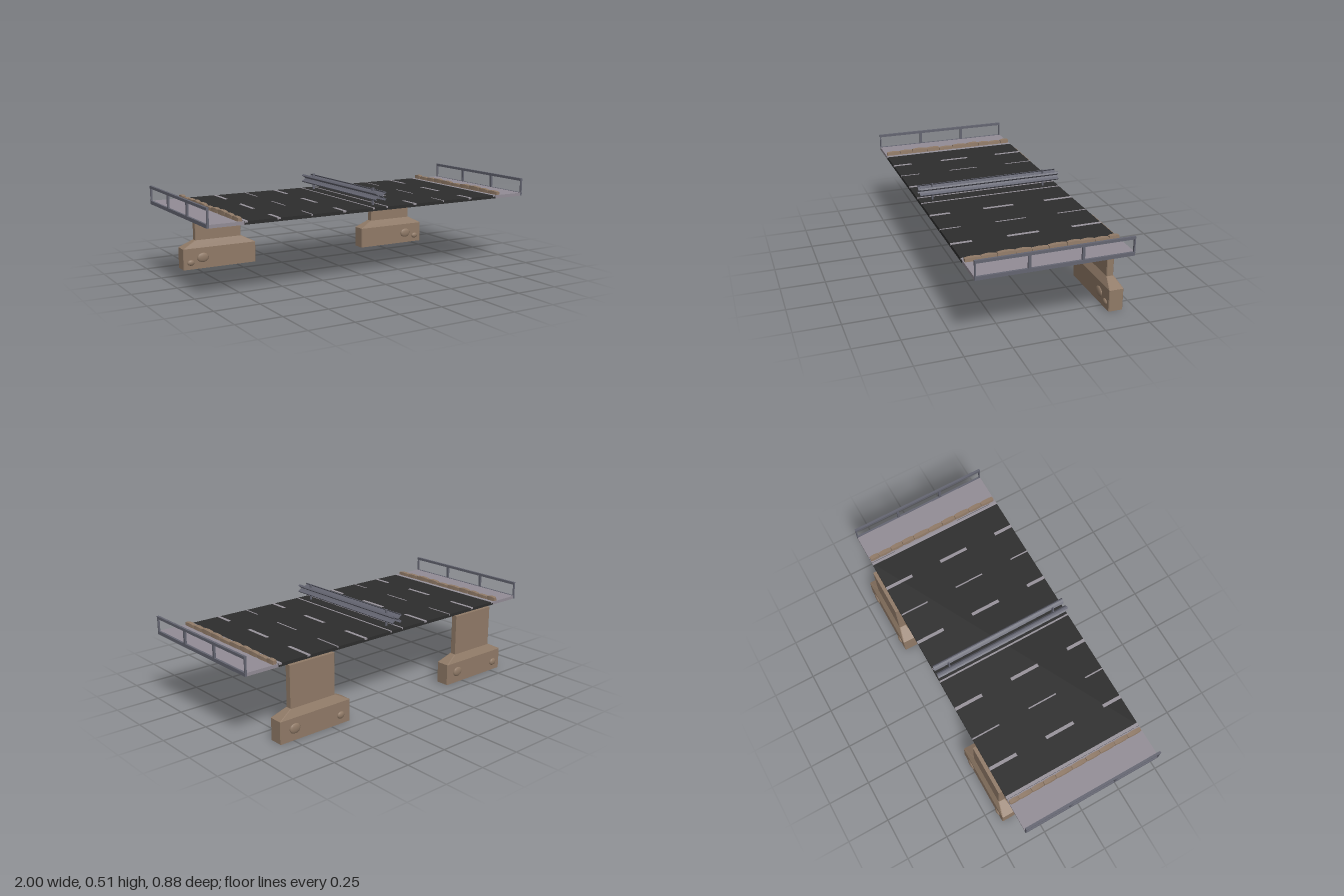
import * as THREE from 'three';

const Z0 = -0.388, Z1 = 0.443, ZC = (Z0 + Z1) / 2, LEN = Z1 - Z0, TOP = 0.416;

function material(name, color, side = THREE.FrontSide) {
  const m = new THREE.MeshStandardMaterial({ color, side });
  m.name = name;
  return m;
}

// Stacked chamfered rectangles: each level is [y, halfWidth, halfDepth]
function loft(levels, c) {
  const pos = [], idx = [];
  for (const [y, w, d] of levels) {
    for (const [x, z] of [[w, d - c], [w - c, d], [c - w, d], [-w, d - c],
      [-w, c - d], [c - w, -d], [w - c, -d], [w, c - d]]) pos.push(x, y, z);
  }
  const n = 8, last = (levels.length - 1) * n;
  for (let l = 0; l < levels.length - 1; l++) {
    for (let i = 0; i < n; i++) {
      const a = l * n + i, b = l * n + (i + 1) % n;
      idx.push(a, a + n, b, b, a + n, b + n);
    }
  }
  for (let i = 1; i < n - 1; i++) {
    idx.push(0, i, i + 1, last, last + i + 1, last + i);
  }
  const g = new THREE.BufferGeometry();
  g.setAttribute('position', new THREE.Float32BufferAttribute(pos, 3));
  g.setIndex(idx);
  const flat = g.toNonIndexed();
  flat.computeVertexNormals();
  return flat;
}

export function createModel() {
  const model = new THREE.Group();
  model.name = 'roadBridge';
  const asphalt = material('asphalt', 0x2d2d2d);
  const paint = material('roadPaint', 0x97929a);
  const walkway = material('walkwayConcrete', 0x928c95);
  const metal = material('slateMetal', 0x646571);
  const stone = material('brownStone', 0x907a67);

  function add(name, geometry, mat, x = 0, y = 0, z = 0, parent = model) {
    const mesh = new THREE.Mesh(geometry, mat);
    mesh.name = name;
    mesh.position.set(x, y, z);
    parent.add(mesh);
    return mesh;
  }
  // Box given by its minimum and maximum on each axis
  function box(name, mat, x0, x1, y0, y1, z0, z1) {
    return add(name, new THREE.BoxGeometry(Math.abs(x1 - x0), y1 - y0, z1 - z0), mat,
      (x0 + x1) / 2, (y0 + y1) / 2, (z0 + z1) / 2);
  }

  // Road deck
  box('roadDeck', asphalt, -0.8, 0.8, 0.398, TOP, Z0, Z1);

  // Guard rail beam profile, offset outward from the central posts
  const outer = [[0.029, 0.499], [0.036, 0.491], [0.022, 0.483], [0.013, 0.475],
    [0.022, 0.467], [0.036, 0.459], [0.029, 0.451]];
  const profile = outer.concat(outer.map(([x, y]) => [x - 0.006, y]).reverse());

  for (const s of [-1, 1]) {
    // Painted lines, turning slightly over the front and back edges
    const line = (name, x, w, z0, z1) =>
      box(name, paint, s * (x - w / 2), s * (x + w / 2), TOP - 0.008, TOP + 0.001, z0, z1);
    line('edgeLine', 0.79, 0.018, Z0 - 0.0005, Z1 + 0.0005);
    line('centreLine', 0.043, 0.01, Z0 - 0.0005, Z1 + 0.0005);
    for (const [x, w] of [[0.225, 0.019], [0.42, 0.008], [0.61, 0.019]]) {
      for (const [a, b] of [[Z0 - 0.0005, -0.22], [-0.035, 0.14], [0.33, Z1 + 0.0005]]) {
        line('laneDash', x, w, a, b);
      }
    }

    // Walkway with its edge beam and handrail
    box('walkway', walkway, s * 0.8, s * 0.988, 0.398, TOP, Z0, Z1);
    box('edgeBeam', metal, s * 0.988, s, 0.398, TOP + 0.001, Z0, Z1);
    box('handrail', metal, s * 0.987, s, 0.486, 0.501, Z0, Z1);
    for (const [a, b] of [[Z0, -0.381], [-0.118, -0.104], [0.16, 0.175], [0.436, Z1]]) {
      box('railPost', metal, s * 0.988, s * 0.999, TOP, 0.487, a, b);
    }

    // Uneven kerb stones
    const joints = [-0.386, -0.33, -0.25, -0.175, -0.1, 0, 0.09, 0.175, 0.27, 0.353, 0.438];
    for (let i = 0; i < joints.length - 1; i++) {
      const length = joints[i + 1] - joints[i] - 0.002;
      const height = 0.018 + 0.007 * Math.abs(Math.sin(i * 2.3 + 1));
      const g = new THREE.BoxGeometry(0.025, height, length, 1, 1, 4);
      const p = g.attributes.position;
      for (let v = 0; v < p.count; v++) {
        const t = p.getZ(v) / length * 2;
        if (p.getY(v) > 0) {
          p.setY(v, p.getY(v) - 0.004 * t * t);
          p.setX(v, p.getX(v) * 0.85);
        }
        p.setX(v, p.getX(v) * (1.12 - 0.2 * t * t));
      }
      g.computeVertexNormals();
      add('kerbStone', g, stone, s * 0.821, TOP + height / 2, (joints[i] + joints[i + 1]) / 2);
    }

    // Central guard rail beam
    const shape = new THREE.Shape(profile.map(([x, y]) => new THREE.Vector2(s * x, y)));
    const beam = new THREE.ExtrudeGeometry(shape, { depth: LEN, bevelEnabled: false });
    add('guardBeam', beam, metal, 0, 0, Z0);

    // Pier with a flared foot
    const pier = new THREE.Group();
    pier.name = 'pier';
    pier.position.set(s * 0.603, 0, -0.389);
    model.add(pier);
    add('pierFoot', loft([[0, 0.228, 0.041], [0.123, 0.228, 0.041], [0.165, 0.146, 0.02]], 0.004),
      stone, 0, 0, 0, pier);
    add('pierColumn', loft([[0.16, 0.144, 0.02], [0.399, 0.144, 0.02]], 0.004), stone, 0, 0, 0, pier);

    // Rounded stones set in both faces of the foot: [x, y, z, half width, half height]
    const back = s > 0
      ? [[0.137, 0.065, -0.041, 0.035, 0.028], [-0.165, 0.05, -0.041, 0.024, 0.02]]
      : [[0.143, 0.065, -0.041, 0.035, 0.028], [-0.17, 0.05, -0.041, 0.026, 0.021]];
    const front = [[s * 0.108, 0.064, 0.041, 0.036, 0.028], [s * 0.183, 0.04, 0.041, 0.022, 0.017]];
    for (const [x, y, z, w, h] of [...front, ...back]) {
      const pebble = add('footStone', new THREE.SphereGeometry(1, 12, 8), stone, x, y, z, pier);
      pebble.scale.set(w, h, 0.01);
    }
  }

  // Central guard rail posts with spacers
  for (const z of [-0.302, 0.365]) {
    box('guardPost', metal, -0.006, 0.006, TOP, 0.512, z - 0.004, z + 0.004);
    box('guardSpacer', metal, -0.014, 0.014, 0.47, 0.48, z - 0.004, z + 0.004);
  }
  // Dark strip beneath the guard rail
  box('medianStrip', asphalt, -0.027, 0.027, TOP - 0.002, TOP + 0.001, ZC - LEN / 2, ZC + LEN / 2);

  return model;
}
